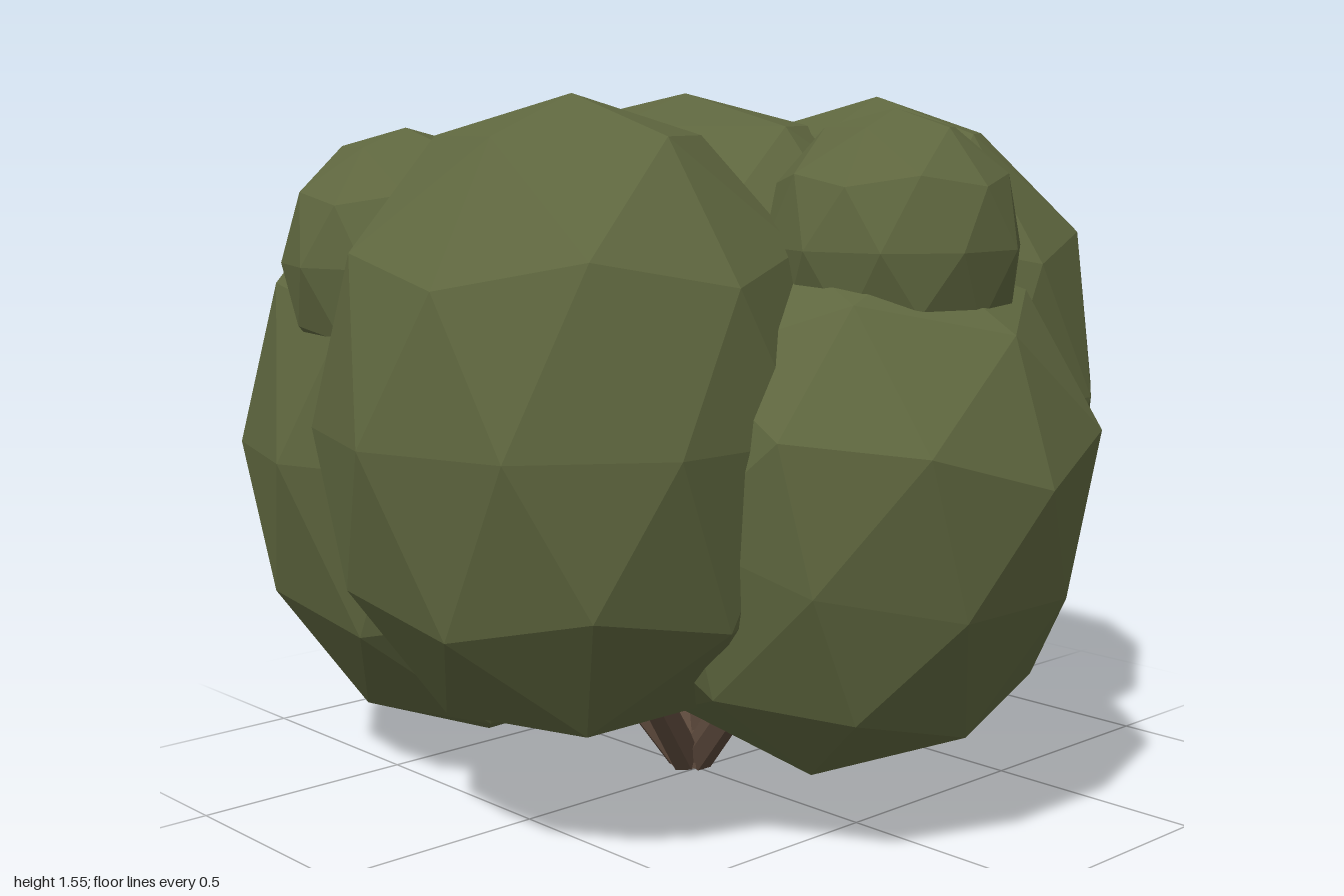
import * as THREE from 'three';

const leafMat = new THREE.MeshStandardMaterial({ color: 0x5f673f, flatShading: true });
const barkMat = new THREE.MeshStandardMaterial({ color: 0x5a473a, flatShading: true });

// Faceted foliage clump: subdivided icosahedron standing on a corner, round in plan.
// A power above 2 makes its profile boxier; leanX and leanZ tip its top sideways.
function clump(name, centre, radius, halfHeight, power = 2, leanX = 0, leanZ = 0) {
  const geo = new THREE.IcosahedronGeometry(1, 1);
  geo.rotateZ(-Math.atan(2 / (1 + Math.sqrt(5))));
  const pos = geo.attributes.position;
  const v = new THREE.Vector3();
  for (let i = 0; i < pos.count; i++) {
    v.fromBufferAttribute(pos, i);
    const norm = (Math.hypot(v.x, v.z) ** power + Math.abs(v.y) ** power) ** (1 / power);
    pos.setXYZ(i, (v.x / norm) * radius, (v.y / norm) * halfHeight, (v.z / norm) * radius);
  }
  geo.computeVertexNormals();
  const mesh = new THREE.Mesh(geo, leafMat);
  mesh.name = name;
  mesh.position.set(...centre);
  mesh.rotation.set(leanZ, 0, -leanX);
  return mesh;
}

// Tapered branch between two points
function branch(name, from, to, r0, r1) {
  const a = new THREE.Vector3(...from);
  const b = new THREE.Vector3(...to);
  const dir = b.clone().sub(a);
  const mesh = new THREE.Mesh(new THREE.CylinderGeometry(r1, r0, dir.length(), 6), barkMat);
  mesh.name = name;
  mesh.position.copy(a).addScaledVector(dir, 0.5);
  mesh.quaternion.setFromUnitVectors(new THREE.Vector3(0, 1, 0), dir.normalize());
  return mesh;
}

export function createModel() {
  const group = new THREE.Group();
  group.name = 'bush';

  // Foliage: crown, leaning clump on the left, and the two clumps on the right
  group.add(clump('crownClump', [-0.04, 0.975, 0], 0.58, 0.57, 2.2));
  group.add(clump('leftClump', [0.47, 0.69, 0], 0.5, 0.56, 2.5, 0.33));
  group.add(clump('leftTopClump', [0.58, 1.235, 0], 0.265, 0.275, 2.1));
  group.add(clump('frontRightClump', [-0.44, 0.755, 0.275], 0.555, 0.71, 2.05));
  group.add(clump('backRightClump', [-0.44, 0.71, -0.28], 0.555, 0.715, 2.1, -0.12, -0.12));

  // Mirrored front and back clumps, with a small one on each right clump
  for (const s of [1, -1]) {
    const side = s > 0 ? 'front' : 'back';
    group.add(clump(side + 'Clump', [0.12, 0.87, s * 0.46], 0.535, 0.67, 2.2));
    group.add(clump(side + 'RightTopClump', [-0.36, 1.18, s * 0.53], 0.275, 0.29, 2.1));
  }

  // Trunk stub and five branches fanning out into the outer clumps
  group.add(branch('trunk', [-0.025, 0, 0], [-0.025, 0.07, 0], 0.055, 0.05));
  for (let i = 0; i < 5; i++) {
    const angle = (i * Math.PI * 2) / 5;
    const c = Math.cos(angle), d = Math.sin(angle);
    group.add(branch('branch', [-0.025 + c * 0.02, 0.015, d * 0.02],
      [-0.025 + c * 0.42, 0.52, d * 0.42], 0.04, 0.035));
  }
  return group;
}
